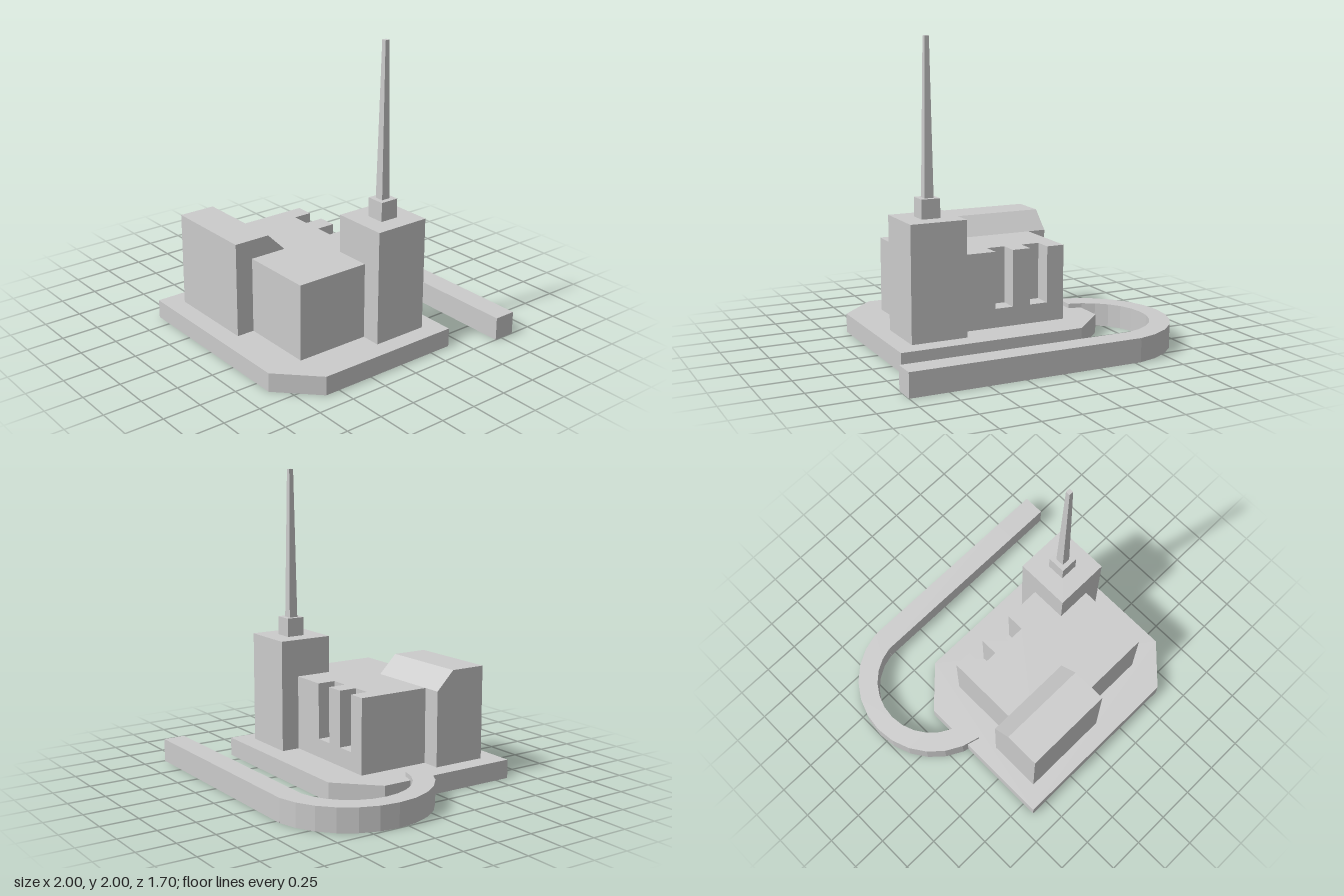
import * as THREE from 'three';

const material = new THREE.MeshStandardMaterial({ color: 0xcccccc, flatShading: true });

function add(parent, name, geometry) {
  const mesh = new THREE.Mesh(geometry, material);
  mesh.name = name;
  parent.add(mesh);
  return mesh;
}

// Box given by its limits on each axis
function box(parent, name, [x0, x1], [y0, y1], [z0, z1]) {
  const mesh = add(parent, name, new THREE.BoxGeometry(x1 - x0, y1 - y0, z1 - z0));
  mesh.position.set((x0 + x1) / 2, (y0 + y1) / 2, (z0 + z1) / 2);
}

// Plan outline of [x, z] points raised from y0 to y1
function slab(parent, name, plan, y0, y1) {
  const shape = new THREE.Shape(plan.map(([x, z]) => new THREE.Vector2(x, -z)));
  const geometry = new THREE.ExtrudeGeometry(shape, { depth: y1 - y0, bevelEnabled: false });
  geometry.rotateX(-Math.PI / 2).translate(0, y0, 0);
  add(parent, name, geometry);
}

// Arc of [x, z] points bulging towards -x, from back to front
function bend(centreX, radius, halfAngle, steps = 12) {
  return Array.from({ length: steps + 1 }, (_, i) => {
    const a = halfAngle * (1 - 2 * i / steps);
    return [centreX - radius * Math.cos(a), -0.315 - radius * Math.sin(a)];
  });
}

export function createModel() {
  const model = new THREE.Group();
  model.name = 'factory';

  // Ground slab with two cut corners
  slab(model, 'base', [
    [-0.625, -0.15], [-0.375, -0.4], [0.87, -0.4],
    [0.87, 0.6], [0.625, 0.845], [-0.625, 0.845],
  ], 0, 0.125);

  // Main hall: solid foot, then two notched storeys
  const hall = new THREE.Group();
  hall.name = 'mainHall';
  model.add(hall);
  const outline = [[-0.375, -0.15]];
  for (const x of [-0.255, -0.005]) {
    outline.push([x, -0.15], [x, -0.025], [x + 0.125, -0.025], [x + 0.125, -0.15]);
  }
  outline.push([0.62, -0.15], [0.62, 0.6], [-0.375, 0.6]);
  box(hall, 'hallFoot', [-0.375, 0.62], [0.125, 0.25], [-0.15, 0.6]);
  slab(hall, 'lowerStorey', outline, 0.25, 0.375);
  slab(hall, 'upperStorey', outline, 0.375, 0.625);

  // Front block with a sloped rear roof edge, profile in z and y
  const profile = [[0.72, 0.125], [0.72, 0.75], [0.475, 0.75], [0.35, 0.625], [0.35, 0.125]];
  const block = new THREE.ExtrudeGeometry(
    new THREE.Shape(profile.map(([z, y]) => new THREE.Vector2(-z, y))),
    { depth: 0.625, bevelEnabled: false },
  );
  block.rotateY(Math.PI / 2).translate(-0.5, 0, 0);
  add(model, 'frontBlock', block);

  // Tower, cap and tapered square mast
  const tower = new THREE.Group();
  tower.name = 'tower';
  model.add(tower);
  box(tower, 'towerFoot', [0.375, 0.75], [0.125, 0.375], [-0.275, 0.1]);
  box(tower, 'towerShaft', [0.375, 0.75], [0.375, 0.875], [-0.275, 0.1]);
  box(tower, 'towerCap', [0.5, 0.625], [0.875, 1], [-0.15, -0.025]);
  const mast = new THREE.CylinderGeometry(0.015 * Math.SQRT2, 0.03 * Math.SQRT2, 1, 4);
  mast.rotateY(Math.PI / 4).translate(0.56, 1.5, -0.087);
  add(tower, 'mast', mast);

  // Raised road: straight run along the back, curving round onto the base
  const outer = bend(-0.459, 0.541, 1.423);
  const inner = bend(-0.48, 0.39, 1.415).reverse();
  slab(model, 'roadBend', [...outer, ...inner], 0, 0.155);
  box(model, 'roadStraight', [-0.54, 0.69], [0, 0.155], [-0.85, -0.7]);
  box(model, 'roadEnd', [0.69, 1], [0, 0.155], [-0.85, -0.7]);

  return model;
}
